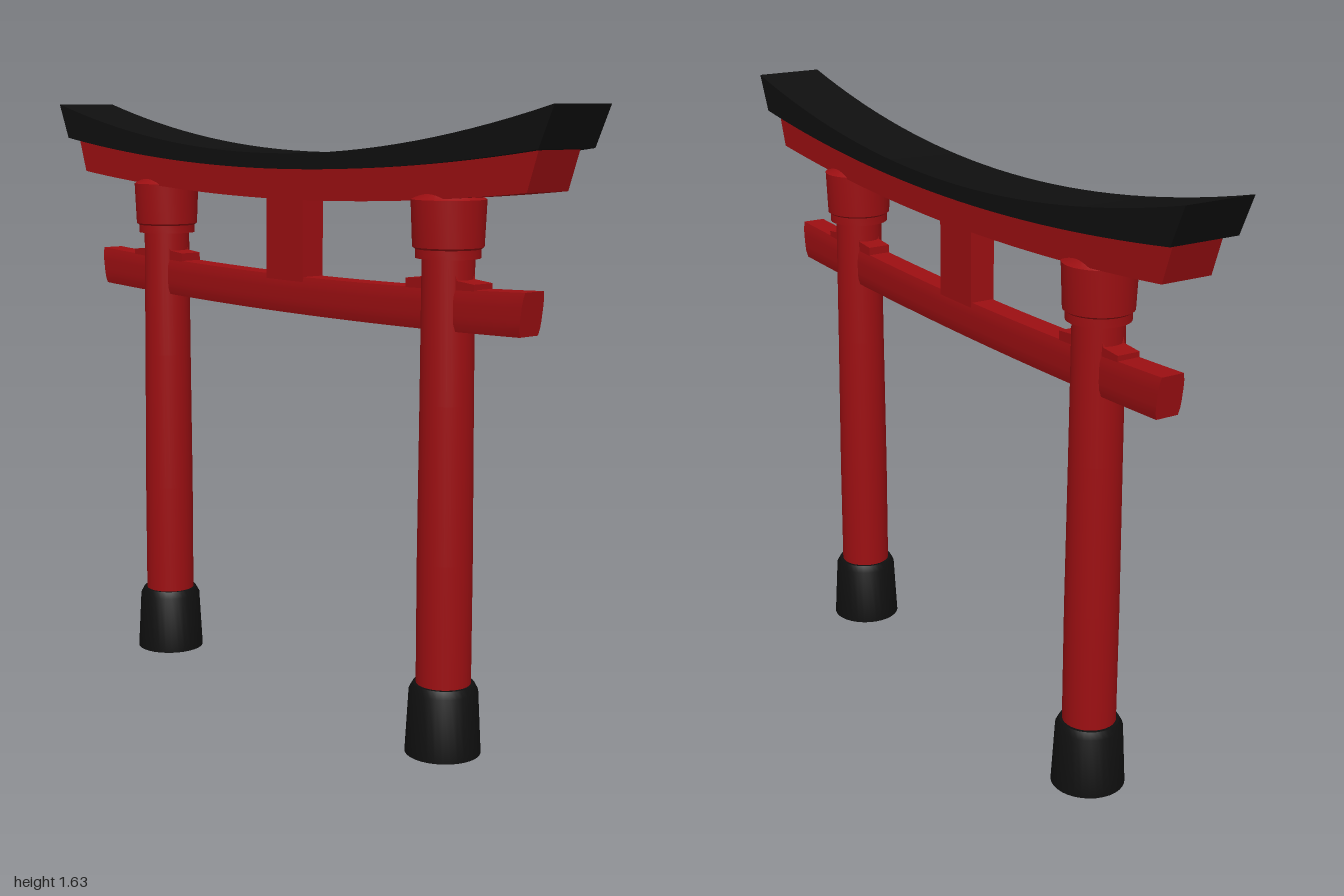
import * as THREE from 'three';
import { toCreasedNormals } from 'three/addons/utils/BufferGeometryUtils.js';

export function createModel() {
  const model = new THREE.Group();
  model.name = 'gate';
  const red = new THREE.MeshStandardMaterial({ color: 0x9c0f12 });
  red.name = 'red lacquer';
  const black = new THREE.MeshStandardMaterial({ color: 0x0f0f0f });
  black.name = 'black lacquer';

  const add = (parent, name, geometry, material) => {
    const mesh = new THREE.Mesh(geometry, material);
    mesh.name = name;
    parent.add(mesh);
    return mesh;
  };

  // Beam that rises towards its slanted ends; top and bottom are [half length, middle y, end y]
  const beam = (top, bottom, halfDepth, bulge = 0) => {
    const geometry = new THREE.BoxGeometry(2, 2, 2, 32, 6, 1);
    const p = geometry.attributes.position;
    for (let i = 0; i < p.count; i++) {
      const t = p.getX(i), v = p.getY(i), k = (v + 1) / 2;
      const [length, middle, end] = top.map((a, j) => THREE.MathUtils.lerp(bottom[j], a, k));
      p.setXYZ(i, t * length, middle + (end - middle) * t * t,
        p.getZ(i) * halfDepth * (1 - bulge * v ** 4));
    }
    geometry.computeVertexNormals();
    return geometry;
  };

  const turned = (points) => toCreasedNormals(
    new THREE.LatheGeometry(points.map(([r, y]) => new THREE.Vector2(r, y)), 32), 0.6);

  // Horizontal beams
  add(model, 'roofBeam', beam([1, 1.5, 1.627], [0.955, 1.46, 1.527], 0.096), black);
  add(model, 'upperLintel', beam([0.935, 1.475, 1.53], [0.9, 1.38, 1.428], 0.07), red);
  add(model, 'tieBeam', beam([0.867, 1.175, 1.197], [0.852, 1.075, 1.091], 0.037, 0.15), red);

  // Strut between the tie beam and the lintel
  const strut = add(model, 'centreStrut', new THREE.BoxGeometry(0.152, 0.26, 0.07), red);
  strut.position.set(0, 1.28, 0);

  // Peaked wedge blocks that pin the tie beam to each pillar
  const wedgeShape = new THREE.Shape([
    [-0.12, 1.15], [0.12, 1.15], [0.12, 1.202], [0.05, 1.24], [-0.05, 1.24], [-0.12, 1.202],
  ].map(([x, y]) => new THREE.Vector2(x, y)));
  wedgeShape.curves.length = 0;
  wedgeShape.setFromPoints([
    [-0.118, 1.15], [0.118, 1.15], [0.118, 1.203], [0.06, 1.208],
    [0.05, 1.24], [-0.05, 1.24], [-0.06, 1.208], [-0.118, 1.203],
  ].map(([x, y]) => new THREE.Vector2(x, y)));
  const wedgeGeometry = new THREE.ExtrudeGeometry(wedgeShape, { depth: 0.064, bevelEnabled: false });
  wedgeGeometry.translate(0, 0, -0.032);

  const postGeometry = turned([[0.07, 0.1], [0.07, 0.5], [0.067, 0.9], [0.065, 1.3]]);
  const footGeometry = turned([[0.09, 0], [0.097, 0], [0.088, 0.165], [0.078, 0.183], [0.06, 0.183]]);
  const soleGeometry = new THREE.CircleGeometry(0.09, 32).rotateX(Math.PI / 2);
  const capitalGeometry = turned([
    [0.06, 1.258], [0.081, 1.258], [0.081, 1.28], [0.088, 1.285],
    [0.093, 1.4], [0.068, 1.415], [0.06, 1.43],
  ]);

  // Left and right pillars, leaning slightly inwards
  for (const side of [1, -1]) {
    const pillar = new THREE.Group();
    pillar.name = side > 0 ? 'leftPillar' : 'rightPillar';
    pillar.position.x = side * 0.589;
    model.add(pillar);
    add(pillar, 'post', postGeometry, red).rotation.z = side * 0.004;
    add(pillar, 'foot', footGeometry, black);
    add(pillar, 'sole', soleGeometry, red).position.y = 0.002;
    add(pillar, 'capital', capitalGeometry, red).position.x = -side * 0.006;
    add(pillar, 'wedge', wedgeGeometry, red).position.x = -side * 0.004;
  }
  return model;
}
